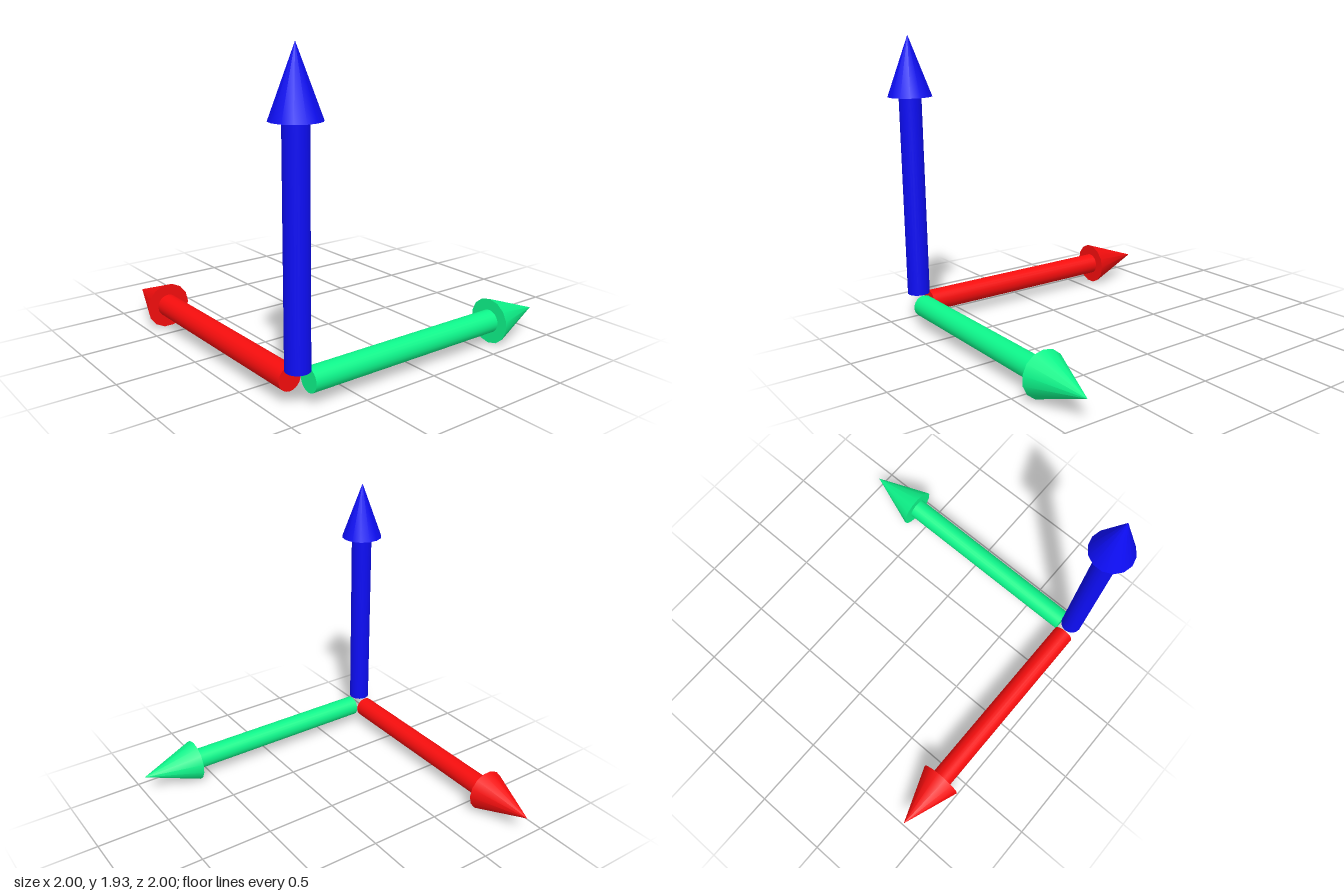
import * as THREE from 'three';

// Arrow along +y: a shaft from start to neck and a conical head from neck to tip
function makeArrow(name, color, start, neck, tip) {
  const material = new THREE.MeshStandardMaterial({ color });
  const arrow = new THREE.Group();
  arrow.name = name;

  const shaft = new THREE.Mesh(new THREE.CylinderGeometry(0.072, 0.072, neck - start, 24), material);
  shaft.name = name + 'Shaft';
  shaft.position.y = (start + neck) / 2;

  const head = new THREE.Mesh(new THREE.ConeGeometry(0.144, tip - neck, 14), material);
  head.name = name + 'Head';
  head.position.y = (neck + tip) / 2;

  arrow.add(shaft, head);
  return arrow;
}

export function createModel() {
  const model = new THREE.Group();
  model.name = 'axisArrows';

  // Each arrow starts just off the shared corner, leaving a small gap there
  const up = makeArrow('upArrow', 0x0d0df5, 0.075, 1.395, 1.785);
  const side = makeArrow('sideArrow', 0xf50d0d, 0.075, 1.465, 1.855);
  side.rotation.z = Math.PI / 2; // points to -x
  const back = makeArrow('backArrow', 0x0df58a, 0.07, 1.465, 1.855);
  back.rotation.x = -Math.PI / 2; // points to -z

  for (const arrow of [up, side, back]) {
    arrow.position.set(0.855, 0.145, 0.855);
    model.add(arrow);
  }
  return model;
}
